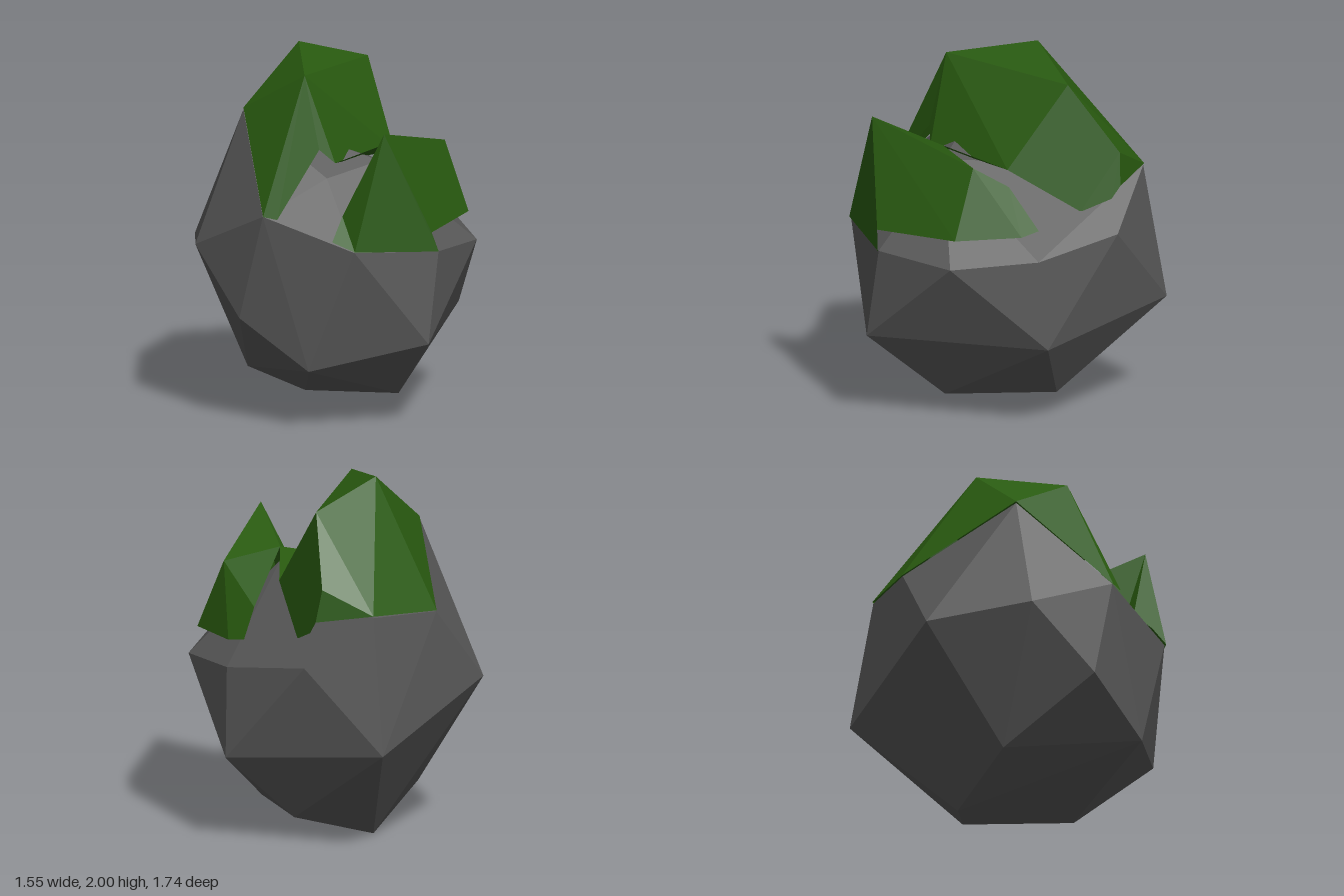
import * as THREE from 'three';
import { ConvexGeometry } from 'three/addons/geometries/ConvexGeometry.js';

// Faceted shell from named points and triangles, each turned away from the centre
function shell(points, faces, centre) {
  const c = new THREE.Vector3(...centre);
  const out = [];
  for (const face of faces.split(' ')) {
    const t = face.split('-').map((k) => new THREE.Vector3(...points[k]));
    const normal = t[1].clone().sub(t[0]).cross(t[2].clone().sub(t[0]));
    const mid = t[0].clone().add(t[1]).add(t[2]).divideScalar(3).sub(c);
    if (normal.dot(mid) < 0) t.reverse();
    t.forEach((v) => out.push(v.x, v.y, v.z));
  }
  const g = new THREE.BufferGeometry();
  g.setAttribute('position', new THREE.Float32BufferAttribute(out, 3));
  g.computeVertexNormals();
  return g;
}

export function createModel() {
  const group = new THREE.Group();
  const stone = new THREE.MeshStandardMaterial({ color: 0x575757, flatShading: true });
  stone.name = 'stone grey';
  const moss = new THREE.MeshStandardMaterial({ color: 0x28590f, flatShading: true, side: THREE.DoubleSide });
  moss.name = 'moss green';

  const add = (name, geometry, material) => {
    const mesh = new THREE.Mesh(geometry, material);
    mesh.name = name;
    group.add(mesh);
  };

  // Boulder: corners from the foot up to the crown
  const corners = [
    [-0.07, 0, -0.28], [0.31, 0.11, 0.37], [0.39, 0.13, -0.24], [-0.45, 0.21, -0.04],
    [-0.28, 0.34, 0.73], [0.38, 0.48, 0.81], [0.77, 0.49, -0.16], [0.14, 0.59, -0.87],
    [-0.61, 0.6, 0.46], [-0.65, 0.88, -0.47], [-0.78, 0.95, 0.11], [0.75, 0.96, 0.38],
    [0.74, 0.99, -0.11], [0.45, 0.99, 0.75], [-0.05, 1.03, 0.86], [0.48, 1.06, -0.57],
    [-0.5, 1.19, 0.56], [-0.31, 1.31, -0.59], [0.14, 1.35, -0.74], [-0.12, 1.37, 0.48],
    [0.2, 1.43, 0.37], [-0.49, 1.68, 0.03],
  ];
  add('boulder', new ConvexGeometry(corners.map((p) => new THREE.Vector3(...p))), stone);

  // Large moss cap over the crown and back
  const cap = {
    top: [-0.13, 2, -0.18], front: [-0.21, 1.92, 0.32], right: [0.29, 1.87, -0.31],
    left: [-0.49, 1.69, 0.03], toe: [-0.5, 1.19, 0.565], toe2: [-0.43, 1.18, 0.61],
    arch: [-0.15, 1.52, 0.42], tip: [-0.06, 1.44, 0.42], valley: [0.2, 1.51, 0.37],
    side: [0.36, 1.41, 0.03], low: [0.43, 1.18, -0.37], low2: [0.43, 1.25, -0.54],
    hem: [0.42, 1.32, -0.59], corner: [0.38, 1.5, -0.59], back: [0.14, 1.36, -0.745],
    back2: [-0.31, 1.315, -0.595],
  };
  add('mossCap', shell(cap,
    'top-front-right top-left-front top-back2-left top-back-back2 top-right-back right-corner-back ' +
    'front-right-side right-low-side right-corner-low corner-low2-low corner-hem-low2 corner-back-hem ' +
    'left-toe-front toe-toe2-front front-toe2-arch front-arch-tip front-tip-side tip-valley-side',
    [-0.05, 1.1, -0.1]), moss);

  // Smaller moss patch on the front shoulder
  const patch = {
    peak: [0.14, 1.67, 0.76], ridge: [0.6, 1.5, 0.24], foot: [-0.05, 1.035, 0.87],
    foot2: [0.45, 0.99, 0.755], hem: [0.41, 1.1, 0.755], side: [0.71, 1.115, 0.35],
    tail: [0.69, 1.12, -0.02], tail2: [0.64, 1.14, -0.12], shoulder: [0.58, 1.38, 0.04],
    notch: [0.47, 1.25, 0.12], valley: [0.2, 1.51, 0.37], fold: [0.04, 1.25, 0.65],
    fold2: [-0.08, 1.2, 0.69], wing: [-0.16, 1.08, 0.79],
  };
  add('mossPatch', shell(patch,
    'peak-foot-foot2 peak-foot2-hem peak-hem-side peak-side-ridge ridge-side-tail ridge-tail-shoulder ' +
    'shoulder-tail-tail2 shoulder-tail2-notch ridge-shoulder-notch ridge-notch-valley peak-ridge-valley ' +
    'peak-valley-fold peak-fold-fold2 peak-fold2-foot foot-fold2-wing',
    [0.25, 1.15, 0.45]), moss);

  return group;
}
